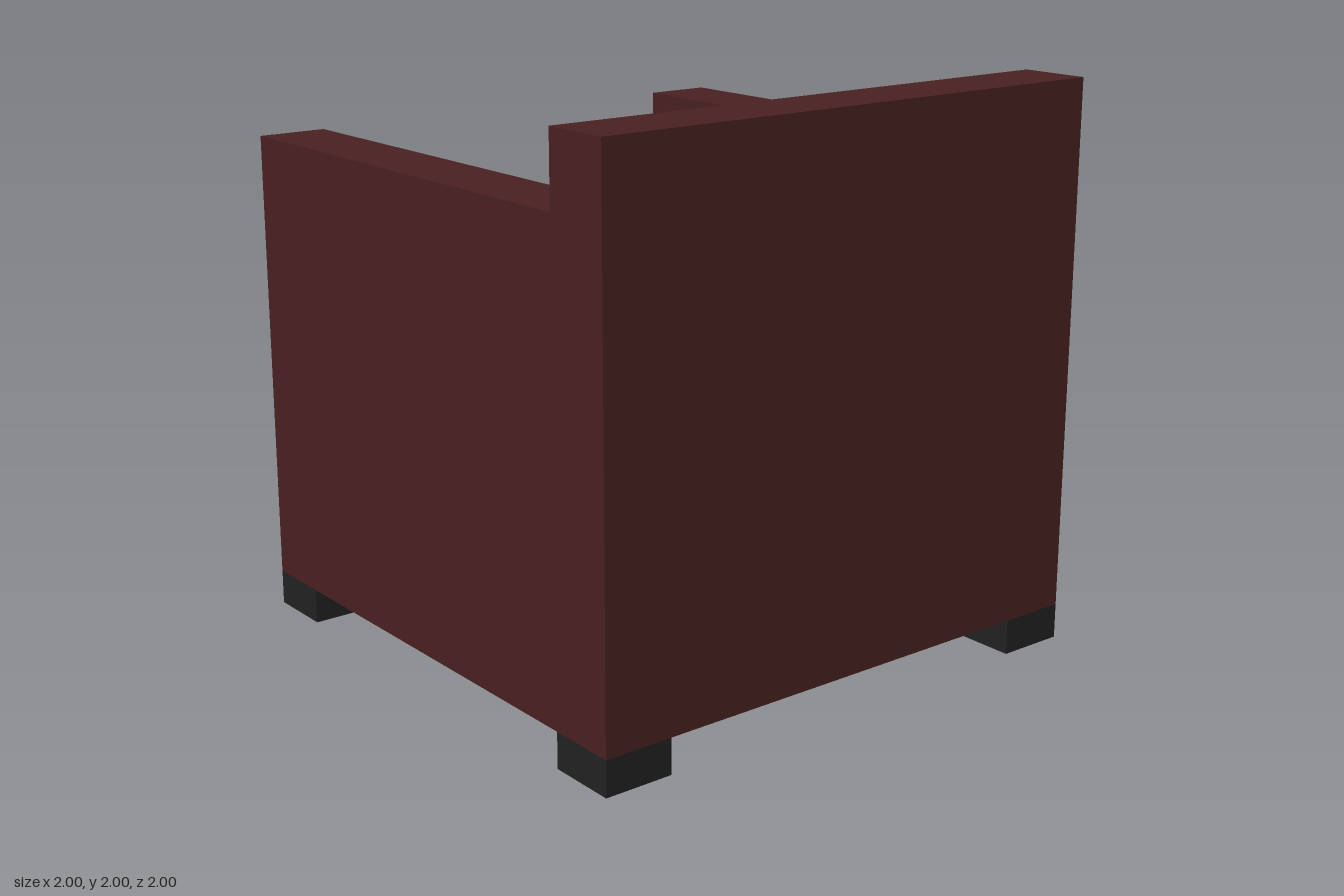
import * as THREE from 'three';

export function createModel() {
  const group = new THREE.Group();
  group.name = 'armchair';
  const upholstery = new THREE.MeshStandardMaterial({ name: 'maroon upholstery', color: 0x4a2122 });
  const feet = new THREE.MeshStandardMaterial({ name: 'black feet', color: 0x222222 });

  const add = (name, geometry, material, x, y, z) => {
    const mesh = new THREE.Mesh(geometry, material);
    mesh.name = name;
    mesh.position.set(x, y, z);
    group.add(mesh);
  };

  // Seat and both arms: one U-shaped profile run from the open side to the backrest
  const profile = new THREE.Shape([
    [-1, 0.125], [1, 0.125], [1, 1.75], [0.75, 1.75],
    [0.75, 1], [-0.75, 1], [-0.75, 1.75], [-1, 1.75],
  ].map(([x, y]) => new THREE.Vector2(x, y)));
  add('seatAndArms', new THREE.ExtrudeGeometry(profile, { depth: 1.75, bevelEnabled: false }),
    upholstery, 0, 0, -1);

  // Backrest: full-width slab, taller than the arms
  add('backrest', new THREE.BoxGeometry(2, 1.875, 0.25), upholstery, 0, 1.0625, 0.875);

  // Four block feet flush with the corners
  const foot = new THREE.BoxGeometry(0.25, 0.125, 0.25);
  for (const [side, x] of [['Right', -0.875], ['Left', 0.875]]) {
    for (const [end, z] of [['back', -0.875], ['front', 0.875]]) {
      add(`${end}${side}Foot`, foot, feet, x, 0.0625, z);
    }
  }
  return group;
}
